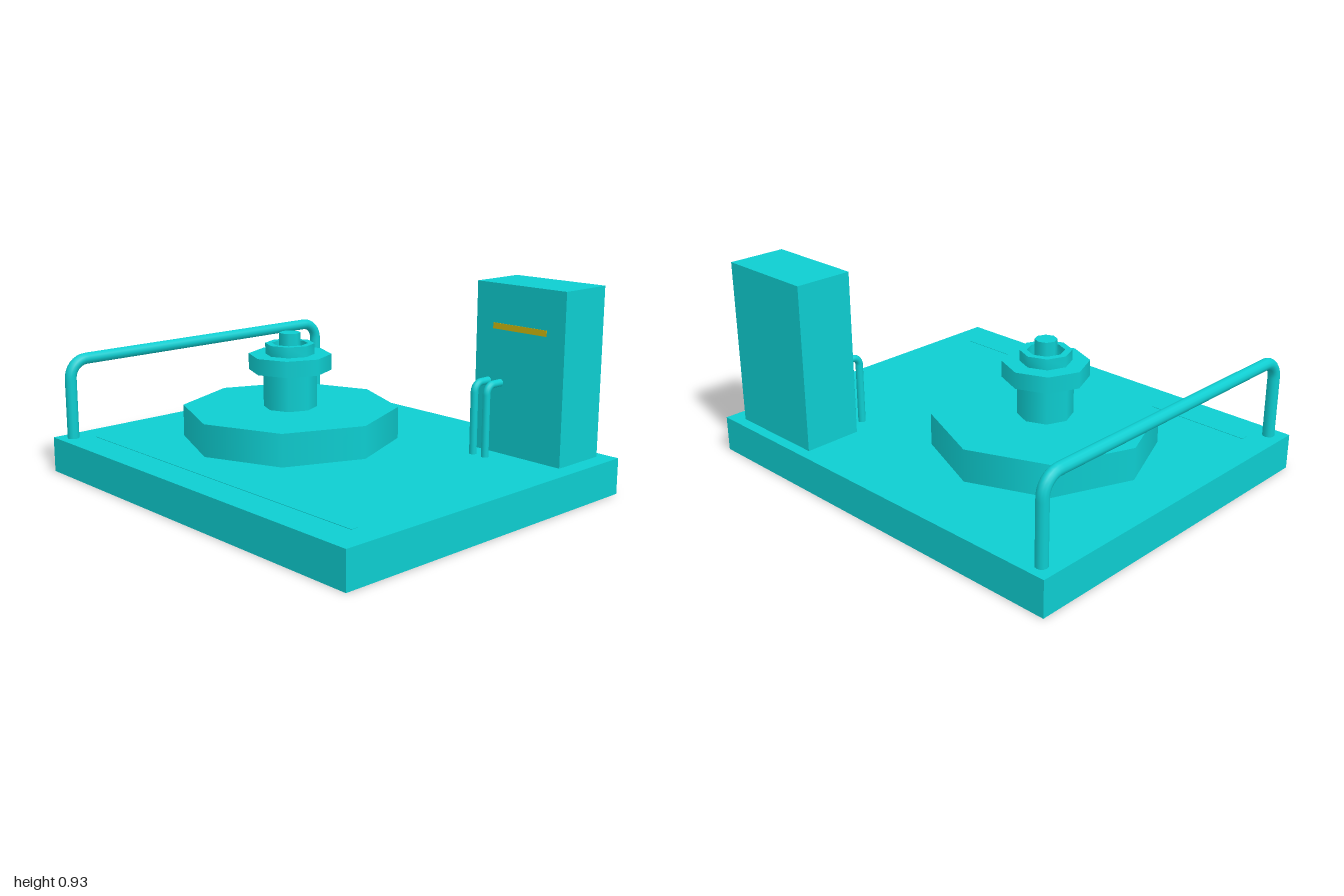
import * as THREE from 'three';
import { toCreasedNormals } from 'three/addons/utils/BufferGeometryUtils.js';

const body = new THREE.MeshStandardMaterial({ color: 0x0dcdd0 });
const shell = new THREE.MeshStandardMaterial({ color: 0x0dcdd0, side: THREE.DoubleSide });
const yellow = new THREE.MeshStandardMaterial({ color: 0xd0b810 });

const DECK = 0.165;

function add(parent, name, geometry, material = body) {
  const mesh = new THREE.Mesh(geometry, material);
  mesh.name = name;
  parent.add(mesh);
  return mesh;
}

// Box given by its lower and upper corners
function box(parent, name, [x0, y0, z0], [x1, y1, z1], material) {
  const geometry = new THREE.BoxGeometry(x1 - x0, y1 - y0, z1 - z0);
  geometry.translate((x0 + x1) / 2, (y0 + y1) / 2, (z0 + z1) / 2);
  return add(parent, name, geometry, material);
}

// Eight-sided drum between two heights, rounded shading around the side
function drum(parent, name, radius, y0, y1) {
  const geometry = new THREE.CylinderGeometry(radius, radius, y1 - y0, 8);
  geometry.translate(0, (y0 + y1) / 2, 0);
  return add(parent, name, geometry);
}

function octagon(PathType, radius) {
  const points = [];
  for (let i = 0; i < 8; i++) {
    const a = (i * Math.PI) / 4;
    points.push(new THREE.Vector2(radius * Math.cos(a), radius * Math.sin(a)));
  }
  return new PathType(points);
}

// Pipe through the given corners with each inner corner rounded
function pipe(parent, name, corners, radius, bend) {
  const path = new THREE.CurvePath();
  let from = corners[0];
  for (let i = 1; i < corners.length - 1; i++) {
    const c = corners[i];
    const a = c.clone().add(corners[i - 1].clone().sub(c).setLength(bend));
    const b = c.clone().add(corners[i + 1].clone().sub(c).setLength(bend));
    const k = 0.5523;
    path.add(new THREE.LineCurve3(from, a));
    path.add(new THREE.CubicBezierCurve3(a, a.clone().lerp(c, k), b.clone().lerp(c, k), b));
    from = b;
  }
  path.add(new THREE.LineCurve3(from, corners[corners.length - 1]));
  add(parent, name, new THREE.TubeGeometry(path, 120, radius, 12), shell);
}

// Flat lid under a vertical pipe end
function pipeEnd(parent, name, point, radius) {
  const lid = add(parent, name, new THREE.CircleGeometry(radius, 12).rotateX(Math.PI / 2), shell);
  lid.position.copy(point);
}

export function createModel() {
  const model = new THREE.Group();
  model.name = 'machine';

  // Base: hollow tray, open underneath (the downward side of the box is dropped)
  const tray = new THREE.BoxGeometry(2, DECK, 1.66).translate(0, DECK / 2, 0);
  const index = Array.from(tray.index.array);
  index.splice(18, 6);
  tray.setIndex(index);
  tray.clearGroups();
  add(model, 'base', tray, shell);

  // Long strip let into the deck along the front
  box(model, 'frontStrip', [-0.87, 0.135, 0.647], [0.87, DECK + 0.002, 0.68]);

  // Turntable with its stacked hub
  const turntable = new THREE.Group();
  turntable.name = 'turntable';
  turntable.position.x = -0.255;
  model.add(turntable);
  drum(turntable, 'platter', 0.505, DECK, 0.315);
  drum(turntable, 'hubColumn', 0.125, 0.315, 0.49);
  drum(turntable, 'hubFlange', 0.193, 0.49, 0.565);
  drum(turntable, 'spindle', 0.05, 0.565, 0.665);

  // Collar: ring with an open middle around the spindle
  const ring = octagon(THREE.Shape, 0.115);
  ring.holes.push(octagon(THREE.Path, 0.083));
  const collar = new THREE.ExtrudeGeometry(ring, { depth: 0.05, bevelEnabled: false });
  collar.rotateX(-Math.PI / 2).translate(0, 0.565, 0);
  add(turntable, 'collar', toCreasedNormals(collar, 1));

  // Control cabinet with its indicator slot
  box(model, 'cabinet', [0.44, DECK, -0.78], [0.92, 0.93, -0.507]);
  box(model, 'indicator', [0.535, 0.727, -0.52], [0.825, 0.754, -0.505], yellow);

  // Side handrail
  const railEnds = [0.765, -0.765].map((z) => new THREE.Vector3(-0.93, 0.14, z));
  const railTops = railEnds.map((p) => new THREE.Vector3(p.x, 0.535, p.z));
  pipe(model, 'handrail', [railEnds[0], railTops[0], railTops[1], railEnds[1]], 0.027, 0.085);
  railEnds.forEach((p) => pipeEnd(model, 'handrailEnd', p, 0.027));

  // Pair of conduits running from the deck into the cabinet
  for (const x of [0.514, 0.583]) {
    const foot = new THREE.Vector3(x, 0.155, -0.415);
    pipe(model, 'conduit', [
      foot,
      new THREE.Vector3(x, 0.488, -0.415),
      new THREE.Vector3(x, 0.488, -0.53),
    ], 0.017, 0.04);
    pipeEnd(model, 'conduitEnd', foot, 0.017);
  }

  return model;
}
